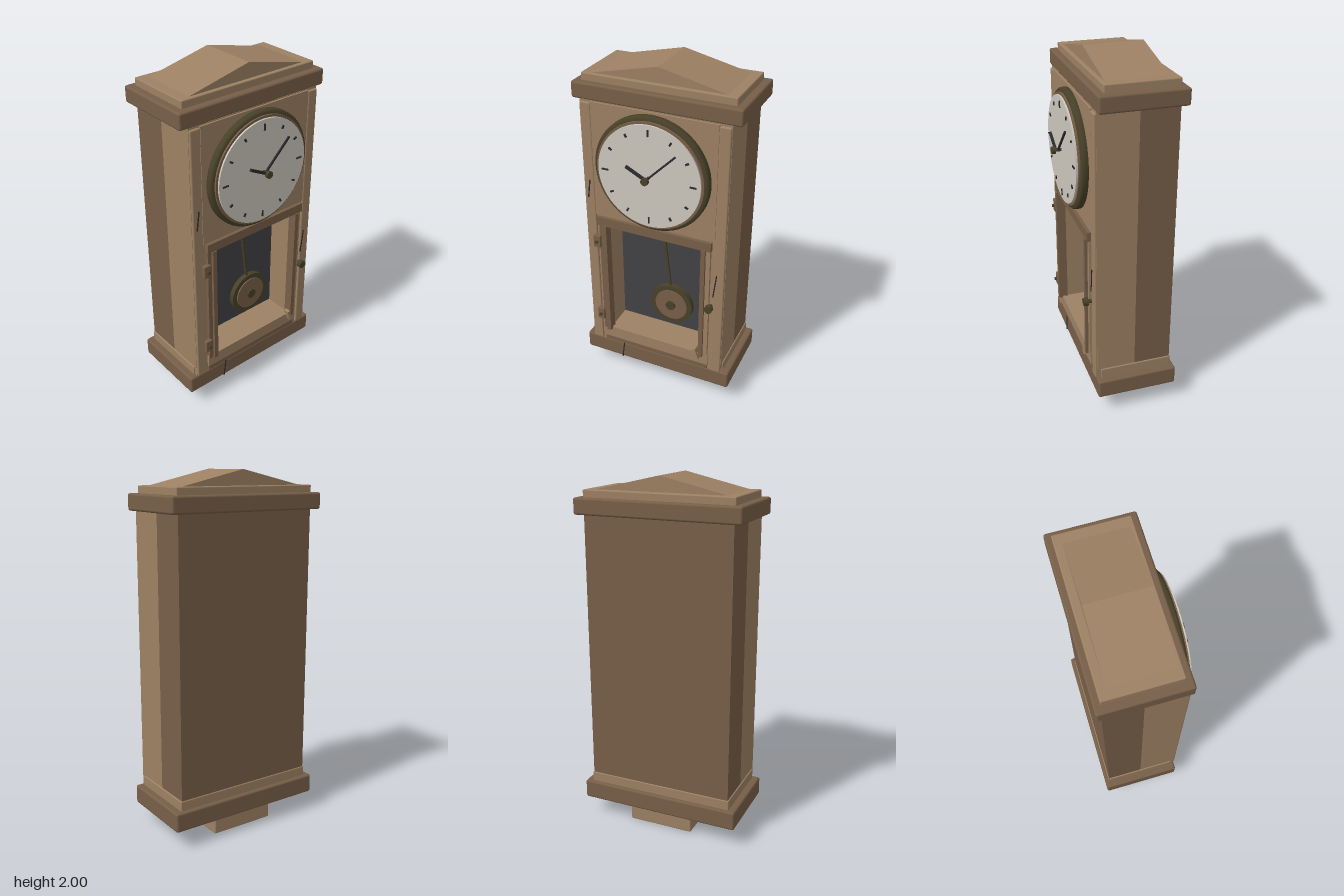
import * as THREE from 'three';
import { RoundedBoxGeometry } from 'three/addons/geometries/RoundedBoxGeometry.js';

const mat = (name, color) => {
  const m = new THREE.MeshStandardMaterial({ color });
  m.name = name;
  return m;
};

export function createModel() {
  const root = new THREE.Group();
  root.name = 'wallClock';
  const light = mat('light wood', 0x9d8164);
  const dark = mat('dark wood', 0x775f48);
  const brass = mat('aged brass', 0x484129);
  const ivory = mat('dial ivory', 0xcdc8bf);
  const black = mat('black steel', 0x2b2a2d);
  const glass = mat('dark backing', 0x424244);

  const add = (name, geo, material, parent = root) => {
    const m = new THREE.Mesh(geo, material);
    m.name = name;
    parent.add(m);
    return m;
  };
  // Box given by its extents; r rounds the edges
  const box = (name, material, x0, x1, y0, y1, z0, z1, r = 0) => {
    const s = [x1 - x0, y1 - y0, z1 - z0];
    const g = r ? new RoundedBoxGeometry(...s, 2, r) : new THREE.BoxGeometry(...s);
    g.translate((x0 + x1) / 2, (y0 + y1) / 2, (z0 + z1) / 2);
    return add(name, g, material);
  };
  // Disc facing +z between two depths
  const disc = (name, material, x, y, r, z0, z1, parent = root, seg = 48) => {
    const g = new THREE.CylinderGeometry(r, r, z1 - z0, seg);
    g.rotateX(Math.PI / 2).translate(x, y, (z0 + z1) / 2);
    return add(name, g, material, parent);
  };
  // Flat bar in the xy plane from a to b
  const bar = (name, material, a, b, w, z0, z1, parent = root) => {
    const dx = b[0] - a[0], dy = b[1] - a[1];
    const g = new THREE.BoxGeometry(w, Math.hypot(dx, dy), z1 - z0);
    g.rotateZ(Math.atan2(-dx, dy));
    g.translate((a[0] + b[0]) / 2, (a[1] + b[1]) / 2, (z0 + z1) / 2);
    return add(name, g, material, parent);
  };

  // Base and foot
  box('foot', light, -0.19, 0.19, 0.005, 0.12, -0.235, 0.065, 0.008);
  box('plinth', dark, -0.467, 0.467, 0.113, 0.222, -0.285, 0.175, 0.012);
  box('plinthStep', light, -0.427, 0.427, 0.215, 0.278, -0.264, 0.15, 0.006);

  // Cabinet: back, hollow front, and flanking stiles
  box('cabinetBack', dark, -0.42, 0.42, 0.22, 1.8, -0.26, -0.05);
  box('innerBack', light, -0.41, 0.41, 0.22, 1.8, -0.05, -0.01);
  for (const s of [-1, 1]) {
    const span = (a, b) => (s > 0 ? [a, b] : [-b, -a]);
    box('cabinetSide', light, ...span(0.295, 0.42), 0.22, 1.79, -0.05, 0.17);
    box('frontStile', light, ...span(0.355, 0.418), 0.22, 1.78, 0.15, 0.182, 0.008);
  }
  box('cabinetHead', light, -0.3, 0.3, 1.07, 1.79, -0.02, 0.17);
  box('cabinetFloor', light, -0.3, 0.3, 0.22, 0.325, -0.02, 0.17);
  box('caseBacking', glass, -0.295, 0.295, 0.325, 1.07, -0.012, -0.004);
  box('dialBoard', light, -0.355, 0.355, 1.115, 1.785, 0.16, 0.18);

  // Door frame
  box('doorTopRail', dark, -0.34, 0.34, 1.06, 1.113, 0.16, 0.197);
  box('doorBottomRail', light, -0.34, 0.34, 0.255, 0.33, 0.16, 0.182);
  box('doorShadowLine', dark, -0.335, 0.335, 0.222, 0.258, 0.16, 0.177);
  for (const s of [-1, 1]) {
    const b = (name, m, a, c, z) =>
      box(name, m, Math.min(a * s, c * s), Math.max(a * s, c * s), 0.32, 1.06, 0.15, z);
    b('doorStile', dark, 0.285, 0.31, 0.203);
    b('doorStileOuter', s < 0 ? dark : light, 0.308, 0.335, 0.188);
  }

  // Hinges and knob
  for (const y of [0.43, 0.95]) {
    box('hingePlate', dark, -0.37, -0.326, y - 0.038, y + 0.038, 0.178, 0.204, 0.004);
    disc('hingePin', brass, -0.347, y, 0.009, 0.2, 0.216, root, 12);
  }
  disc('doorKnobStem', brass, 0.345, 0.695, 0.011, 0.175, 0.2, root, 16);
  disc('doorKnob', brass, 0.345, 0.695, 0.023, 0.198, 0.224, root, 20);

  // Cornice and pediment
  box('cornice', dark, -0.469, 0.469, 1.787, 1.877, -0.291, 0.172, 0.012);
  box('corniceStep', light, -0.426, 0.426, 1.87, 1.917, -0.258, 0.134, 0.006);
  const roof = new THREE.Shape([[-0.39, 1.912], [0.39, 1.912], [0, 2]].map(p => new THREE.Vector2(...p)));
  add('pediment', new THREE.ExtrudeGeometry(roof, { depth: 0.33, bevelEnabled: false }).translate(0, 0, -0.217), light);

  // Dial
  const dial = new THREE.Group();
  dial.name = 'dial';
  dial.position.y = 1.45;
  root.add(dial);
  const rim = [[0, 0.17], [0.315, 0.17], [0.326, 0.18], [0.326, 0.205], [0.318, 0.216], [0.3, 0.216], [0, 0.216]];
  const rimGeo = new THREE.LatheGeometry(rim.map(([r, z]) => new THREE.Vector2(r, z)), 64).rotateX(Math.PI / 2);
  add('bezel', rimGeo, brass, dial);
  disc('innerBezel', dark, 0, 0, 0.304, 0.21, 0.226, dial, 64);
  disc('dialFace', ivory, 0, 0, 0.291, 0.22, 0.236, dial, 64);
  for (let i = 0; i < 12; i++) {
    const a = (i * Math.PI) / 6, r0 = i % 3 ? 0.238 : 0.232, r1 = i % 3 ? 0.258 : 0.268;
    bar('hourMark', black, [Math.sin(a) * r0, Math.cos(a) * r0], [Math.sin(a) * r1, Math.cos(a) * r1],
      i % 3 ? 0.01 : 0.008, 0.235, 0.242, dial);
  }
  bar('minuteHand', black, [0, 0], [0.157, 0.157], 0.01, 0.249, 0.258, dial);
  bar('hourHand', black, [0, 0], [-0.113, 0.058], 0.014, 0.26, 0.273, dial);
  disc('handArbor', brass, 0, 0, 0.009, 0.23, 0.275, dial, 12);
  disc('handHub', brass, 0, 0, 0.02, 0.27, 0.29, dial, 20);

  // Pendulum
  bar('pendulumRod', brass, [0, 1.06], [0.06, 0.54], 0.014, 0.052, 0.064);
  disc('pendulumPivot', brass, 0, 1.055, 0.03, 0.045, 0.07, root, 20);
  disc('pendulumBob', brass, 0.06, 0.54, 0.13, 0.045, 0.075);
  disc('pendulumInlay', dark, 0.06, 0.54, 0.1, 0.07, 0.082);
  disc('pendulumBoss', brass, 0.06, 0.54, 0.029, 0.078, 0.094, root, 20);

  // Scratches and a splinter
  bar('scratch', black, [-0.395, 1.22], [-0.38, 1.33], 0.006, 0.18, 0.186);
  bar('scratch', black, [0.358, 0.765], [0.375, 0.91], 0.006, 0.18, 0.186);
  bar('scratch', black, [-0.225, 0.115], [-0.21, 0.225], 0.006, 0.173, 0.179);
  bar('splinter', light, [0.262, 0.37], [0.284, 0.3], 0.018, 0.18, 0.212);
  bar('splinter', light, [0.262, 0.345], [0.288, 0.335], 0.012, 0.18, 0.2);

  return root;
}
